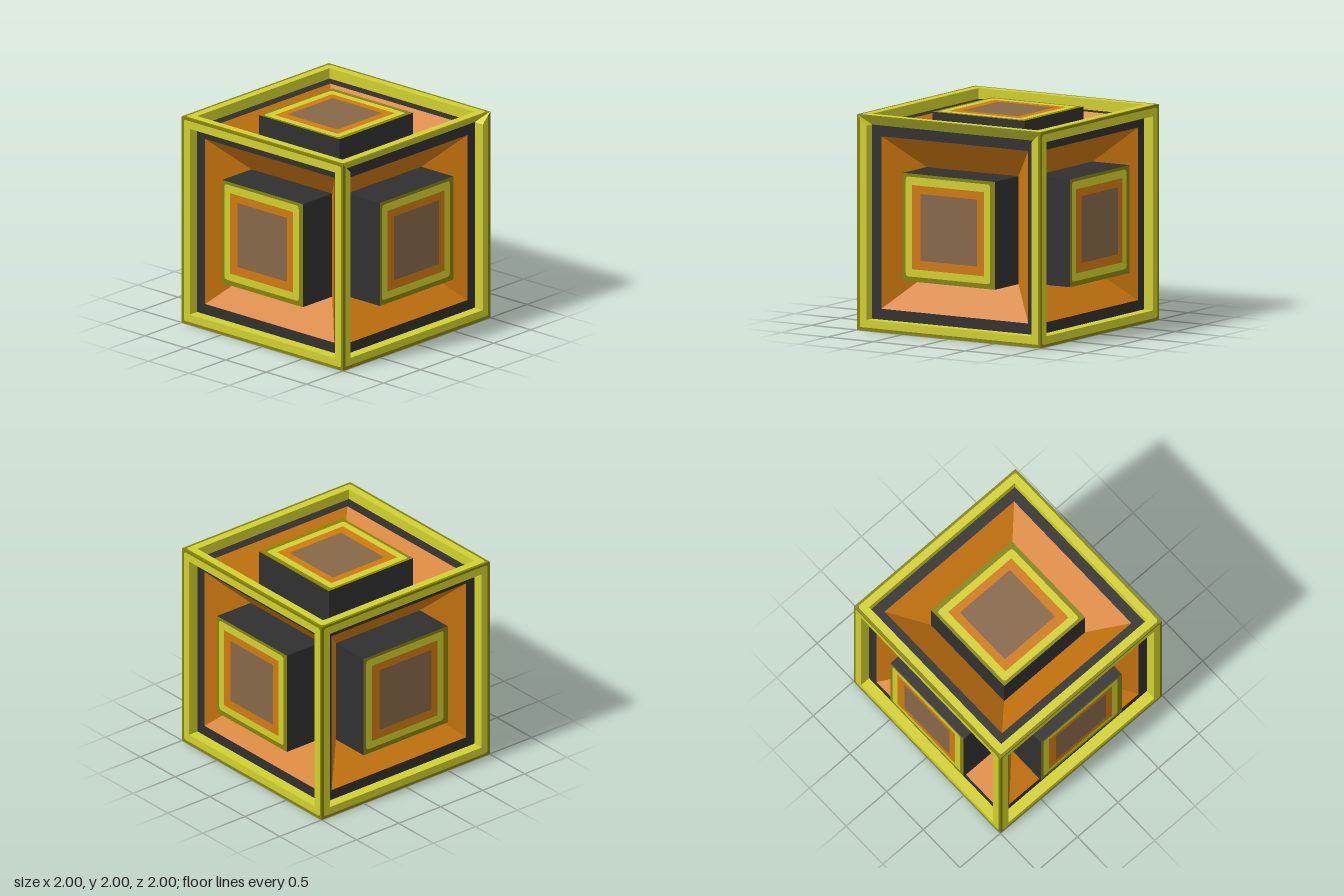
import * as THREE from 'three';

const mat = (name, color) => {
  const m = new THREE.MeshStandardMaterial({ color });
  m.name = name;
  return m;
};

// Flat-shaded mesh from a list of [x, y, z] triangle corners
function facets(name, points, material) {
  const g = new THREE.BufferGeometry();
  g.setAttribute('position', new THREE.Float32BufferAttribute(points.flat(), 3));
  g.computeVertexNormals();
  const mesh = new THREE.Mesh(g, material);
  mesh.name = name;
  return mesh;
}

// Four-sided band from a square of half-size a at depth da to one of half-size b at depth db.
// Sides: 0 top, 1 left, 2 bottom, 3 right
function band(name, a, da, b, db, material, sides = [0, 1, 2, 3]) {
  const c = [[1, 1], [-1, 1], [-1, -1], [1, -1]];
  const at = (i, s, d) => [c[i % 4][0] * s, c[i % 4][1] * s, d];
  const pts = [];
  for (const i of sides) {
    const p = at(i, a, da), q = at(i + 1, a, da), r = at(i + 1, b, db), s = at(i, b, db);
    pts.push(p, q, r, p, r, s);
  }
  return facets(name, pts, material);
}

// Rectangle outline [x0, y0, x1, y1, cornerRadius]
function outline([x0, y0, x1, y1, r = 0], path) {
  if (!r) {
    path.moveTo(x0, y0).lineTo(x1, y0).lineTo(x1, y1).lineTo(x0, y1).closePath();
    return path;
  }
  path.moveTo(x0 + r, y0).lineTo(x1 - r, y0).quadraticCurveTo(x1, y0, x1, y0 + r);
  path.lineTo(x1, y1 - r).quadraticCurveTo(x1, y1, x1 - r, y1);
  path.lineTo(x0 + r, y1).quadraticCurveTo(x0, y1, x0, y1 - r);
  path.lineTo(x0, y0 + r).quadraticCurveTo(x0, y0, x0 + r, y0);
  return path;
}

// Flat panel at the outermost depth, optionally with an opening
function panel(name, outer, inner, material) {
  const shape = outline(outer, new THREE.Shape());
  if (inner) shape.holes.push(outline(inner, new THREE.Path()));
  const mesh = new THREE.Mesh(new THREE.ShapeGeometry(shape, 4), material);
  mesh.position.z = 1;
  mesh.name = name;
  return mesh;
}

export function createModel() {
  const yellow = mat('yellow', 0xd0d02e);
  const olive = mat('olive', 0x84840e);
  const dark = mat('charcoal', 0x303030);
  const orange = mat('orange', 0xd07a10);
  const brown = mat('brown', 0x866848);

  const model = new THREE.Group();
  model.name = 'framedCube';

  // One cube side, facing +z
  function cubeSide(name, rx, ry, cutTop) {
    const g = new THREE.Group();
    g.name = name;

    // Outer frame bars
    if (cutTop) {
      const sides = [1, 2, 3];
      g.add(band('frameEdge', 1, 1, 0.97, 1, olive, sides));
      g.add(band('frameFace', 0.97, 1, 0.9, 1, yellow, sides));
      g.add(band('frameInnerWall', 0.9, 1, 0.9, 0.9, yellow, sides));
      g.add(band('slopedTopBar', 1, 1, 0.9, 0.9, yellow, [0]));
      // Mitred post ends beside the sloped bar
      g.add(facets('postEnds', [
        [-1, 1, 1], [-0.9, 0.9, 1], [-0.9, 0.9, 0.9],
        [1, 1, 1], [0.9, 0.9, 0.9], [0.9, 0.9, 1],
      ], yellow));
    } else {
      const face = [-0.975, -0.975, 0.975, 0.975, 0.03];
      g.add(panel('frameEdge', [-1, -1, 1, 1], face, olive));
      g.add(panel('frameFace', face, [-0.9, -0.9, 0.9, 0.9], yellow));
      g.add(band('frameInnerWall', 0.9, 1, 0.9, 0.9, yellow));
    }

    // Dark rim, sloping recess and the block rising out of it
    g.add(band('recessRim', 0.9, 0.9, 0.8, 0.9, dark));
    g.add(band('recessSlope', 0.8, 0.9, 0.5, 0.6, orange));
    g.add(band('blockSides', 0.5, 0.6, 0.5, 1, dark));

    // Nested panels on the block
    const trim = [-0.47, -0.455, 0.45, 0.47, 0.03];
    const inset = [-0.4, -0.385, 0.38, 0.395];
    const plate = [-0.31, -0.3, 0.305, 0.32, 0.012];
    g.add(panel('blockEdge', [-0.5, -0.5, 0.5, 0.5], trim, olive));
    g.add(panel('blockTrim', trim, inset, yellow));
    g.add(panel('blockInset', inset, plate, orange));
    g.add(panel('blockPlate', plate, null, brown));

    g.rotation.set(rx, ry, 0);
    g.position.y = 1;
    model.add(g);
  }

  const q = Math.PI / 2;
  cubeSide('frontSide', 0, 0, true);
  cubeSide('backSide', 0, 2 * q);
  cubeSide('leftSide', 0, q);
  cubeSide('rightSide', 0, -q);
  cubeSide('topSide', -q, 0);
  cubeSide('bottomSide', q, 0);
  return model;
}
